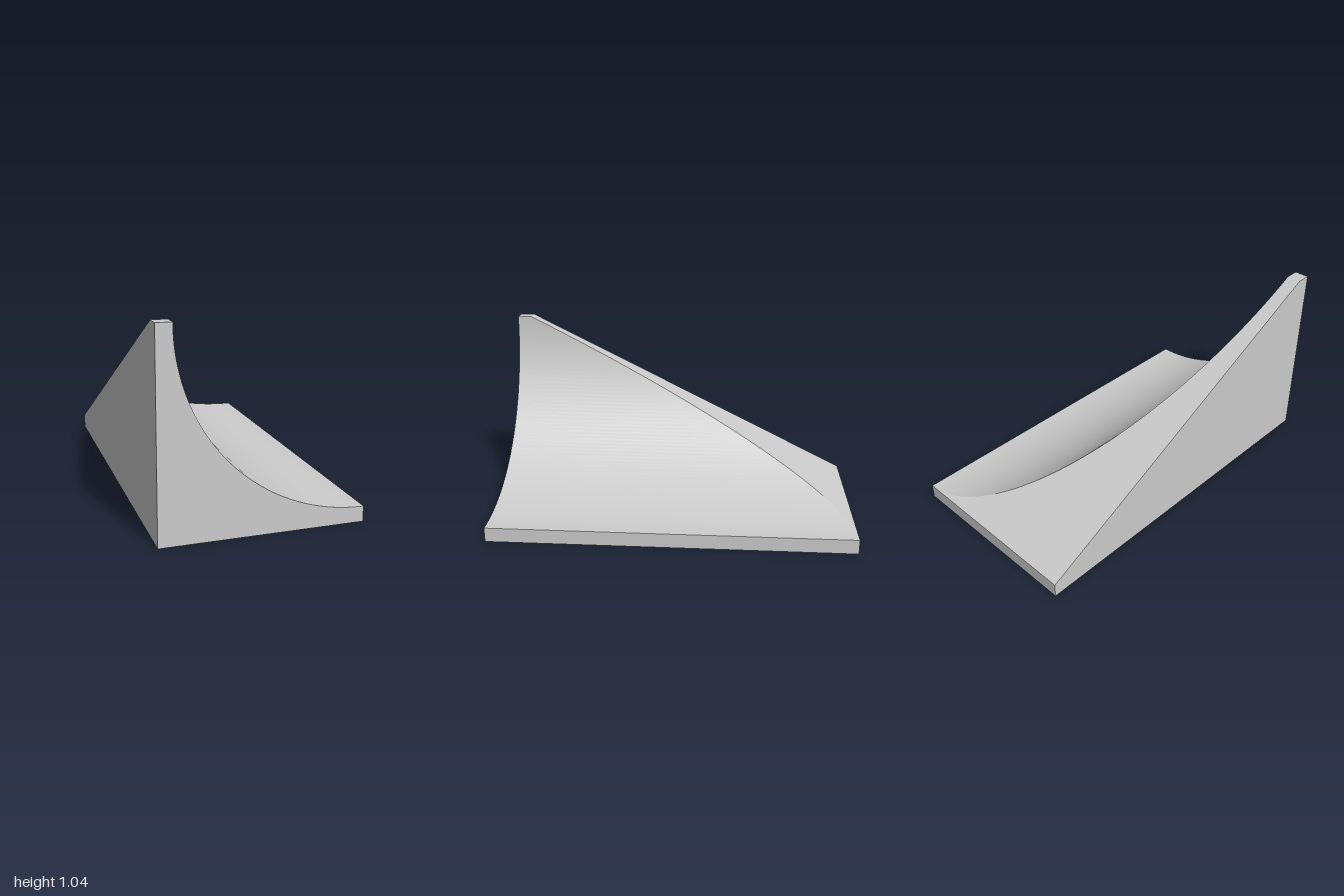
import * as THREE from 'three';
import { toCreasedNormals } from 'three/addons/utils/BufferGeometryUtils.js';

const HALF_WIDTH = 0.52, HALF_LENGTH = 1, BASE = 0.08, HEIGHT = 1.04;
const RADIUS = HEIGHT - BASE, ARC_STEPS = 64;

// Convex cross-section at x: full height at the front, sloping down to the base at the back
function section(x, y) {
  const zSlope = -HALF_LENGTH + 2 * (y - BASE);
  return [[1, 0], [1, y], [zSlope, y], [-1, BASE], [-1, 0]].map(([z, h]) => [x, h, z]);
}

function rampGeometry() {
  // Flat ledge at the top, then a concave quarter circle down to the base
  const sections = [section(-HALF_WIDTH, HEIGHT)];
  for (let i = 0; i <= ARC_STEPS; i++) {
    const a = (i / ARC_STEPS) * Math.PI / 2;
    sections.push(section(HALF_WIDTH - RADIUS * Math.cos(a), HEIGHT - RADIUS * Math.sin(a)));
  }
  const n = sections[0].length, last = (sections.length - 1) * n, index = [];

  // Skin between neighbouring sections
  for (let i = 0; i < sections.length - 1; i++) {
    for (let j = 0; j < n; j++) {
      const k = (j + 1) % n;
      const a = i * n + j, b = a + n, c = (i + 1) * n + k, d = i * n + k;
      index.push(a, b, c, a, c, d);
    }
  }
  // End caps: tall wall and low edge
  for (let j = 1; j < n - 1; j++) {
    index.push(0, j, j + 1);
    index.push(last, last + j + 1, last + j);
  }

  const geometry = new THREE.BufferGeometry();
  geometry.setAttribute('position', new THREE.Float32BufferAttribute(sections.flat(2), 3));
  geometry.setIndex(index);
  return toCreasedNormals(geometry, 0.2);
}

export function createModel() {
  const group = new THREE.Group();
  group.name = 'curvedRamp';
  const ramp = new THREE.Mesh(rampGeometry(), new THREE.MeshStandardMaterial({ color: 0xcccccc }));
  ramp.name = 'rampBody';
  group.add(ramp);
  return group;
}
